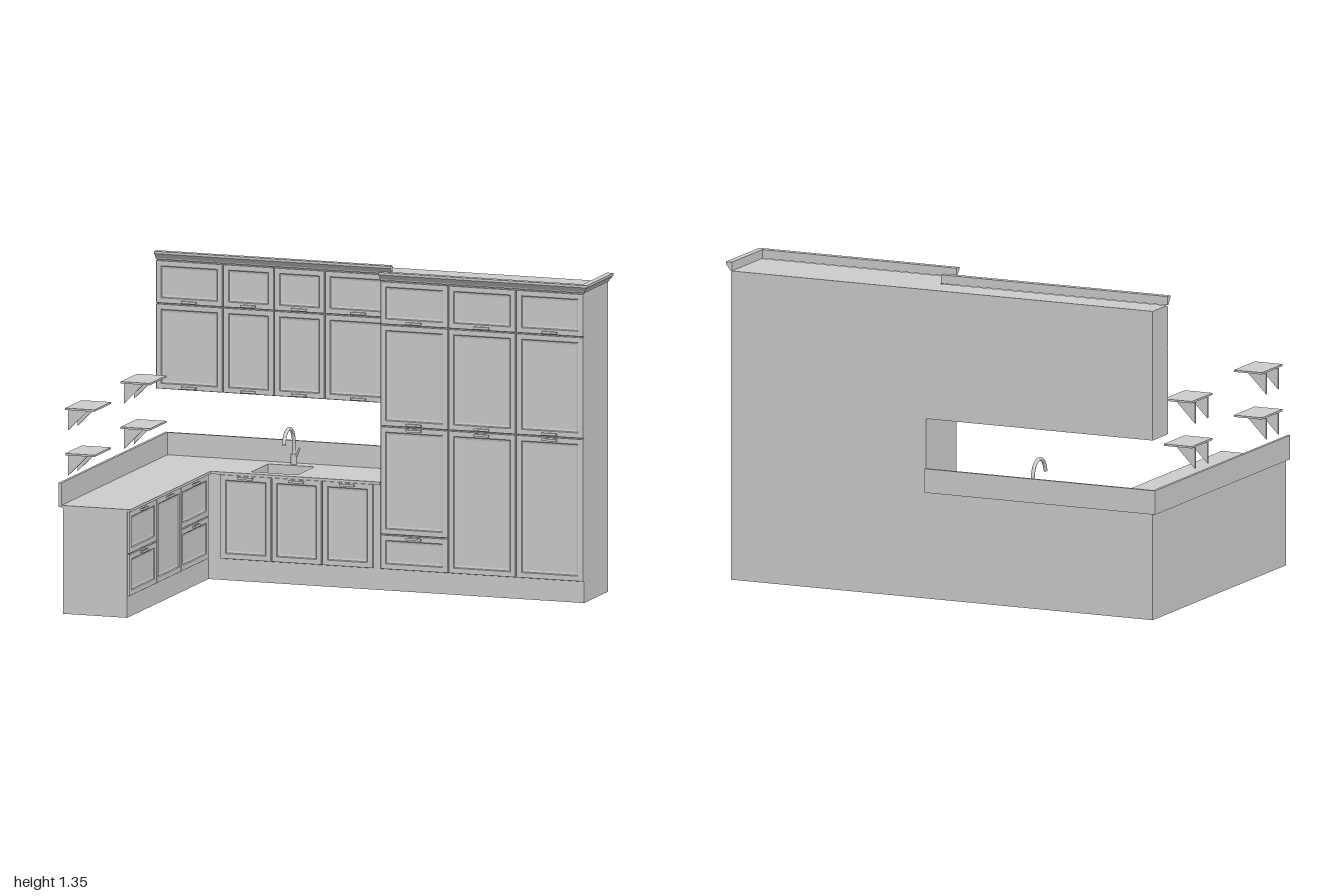
import * as THREE from 'three';

const mat = new THREE.MeshStandardMaterial({ color: 0xcccccc, side: THREE.DoubleSide });

function add(parent, name, geo) {
  const m = new THREE.Mesh(geo, mat);
  m.name = name;
  parent.add(m);
  return m;
}

// Box given by its extents
function box(parent, name, x0, x1, y0, y1, z0, z1) {
  const g = new THREE.BoxGeometry(x1 - x0, y1 - y0, z1 - z0);
  g.translate((x0 + x1) / 2, (y0 + y1) / 2, (z0 + z1) / 2);
  return add(parent, name, g);
}

// Framed front: rectangular rings [inset, depth] stepping in to a recessed panel
function frontGeometry(w, h) {
  const rings = [[0, 0], [0, 0.009], [0.001, 0.01], [0.022, 0.01], [0.025, 0.006], [0.034, 0.004]];
  const pos = [];
  const corners = ([i, d]) => [
    [i, i, d], [w - i, i, d], [w - i, h - i, d], [i, h - i, d],
  ];
  const quad = (a, b, c, d) => pos.push(...a, ...b, ...c, ...a, ...c, ...d);
  for (let r = 0; r < rings.length - 1; r++) {
    const A = corners(rings[r]), B = corners(rings[r + 1]);
    for (let k = 0; k < 4; k++) quad(A[k], A[(k + 1) % 4], B[(k + 1) % 4], B[k]);
  }
  quad(...corners(rings[rings.length - 1]));
  const g = new THREE.BufferGeometry();
  g.setAttribute('position', new THREE.Float32BufferAttribute(pos, 3));
  g.computeVertexNormals();
  return g;
}

// Door or drawer front with a bar handle near its top or bottom edge
function front(parent, name, x0, x1, y0, y1, z, handle) {
  const gap = 0.002;
  const g = frontGeometry(x1 - x0 - 2 * gap, y1 - y0 - 2 * gap);
  g.translate(x0 + gap, y0 + gap, z);
  add(parent, name, g);
  const cx = (x0 + x1) / 2;
  const hy = handle === 'top' ? y1 - 0.012 : y0 + 0.012;
  box(parent, 'handle', cx - 0.033, cx + 0.033, hy - 0.005, hy + 0.005, z + 0.016, z + 0.022);
  for (const s of [-1, 1]) {
    const px = cx + s * 0.028;
    box(parent, 'handlePost', px - 0.004, px + 0.004, hy - 0.004, hy + 0.004, z + 0.009, z + 0.017);
  }
}

// L-shaped floor plan extruded upward, optionally with the sink cut-out
const SINK = { x0: -0.515, x1: -0.31, z0: -0.58, z1: -0.38 };
function lSlab(parent, name, y0, y1, left, back, armX, runZ, endZ, cut) {
  const s = new THREE.Shape([
    [left, back], [0.07, back], [0.07, runZ], [armX, runZ], [armX, endZ], [left, endZ],
  ].map(([x, z]) => new THREE.Vector2(x, -z)));
  if (cut) {
    s.holes.push(new THREE.Path([
      [SINK.x0, SINK.z0], [SINK.x0, SINK.z1], [SINK.x1, SINK.z1], [SINK.x1, SINK.z0],
    ].map(([x, z]) => new THREE.Vector2(x, -z))));
  }
  const g = new THREE.ExtrudeGeometry(s, { depth: y1 - y0, bevelEnabled: false });
  g.rotateX(-Math.PI / 2);
  g.translate(0, y0, 0);
  return add(parent, name, g);
}

// Flared moulding: profile [outward, y] swept along a floor path with outward offsets
function cornice(parent, path) {
  const profile = [[-0.004, 1.315], [0.003, 1.315], [0.006, 1.322], [0.024, 1.342], [0.024, 1.352], [-0.004, 1.352]];
  const pos = [], n = profile.length;
  const pt = ([x, z, ox, oz], [o, y]) => [x + ox * o, y, z + oz * o];
  const tri = (a, b, c) => pos.push(...a, ...b, ...c);
  for (let i = 0; i < path.length - 1; i++) {
    for (let k = 0; k < n; k++) {
      const a = pt(path[i], profile[k]), b = pt(path[i + 1], profile[k]);
      const c = pt(path[i + 1], profile[(k + 1) % n]), d = pt(path[i], profile[(k + 1) % n]);
      tri(a, b, c);
      tri(a, c, d);
    }
  }
  for (const p of [path[0], path[path.length - 1]]) {
    for (let k = 1; k < n - 1; k++) tri(pt(p, profile[0]), pt(p, profile[k]), pt(p, profile[k + 1]));
  }
  const g = new THREE.BufferGeometry();
  g.setAttribute('position', new THREE.Float32BufferAttribute(pos, 3));
  g.computeVertexNormals();
  add(parent, 'cornice', g);
}

function group(parent, name) {
  const g = new THREE.Group();
  g.name = name;
  parent.add(g);
  return g;
}

export function createModel() {
  const root = new THREE.Group();
  root.name = 'cornerKitchen';

  // Base cabinets and worktop, hollow where the sink sits
  const base = group(root, 'baseCabinets');
  lSlab(base, 'baseBody', 0, 0.385, -0.98, -0.637, -0.695, -0.347, 0.64, false);
  lSlab(base, 'baseBodyTop', 0.385, 0.449, -0.98, -0.637, -0.695, -0.347, 0.64, true);
  lSlab(base, 'worktop', 0.449, 0.46, -0.985, -0.64, -0.68, -0.333, 0.645, true);
  box(base, 'sideSplashback', -0.998, -0.985, 0.453, 0.555, -0.652, 0.645);
  box(base, 'backSplashback', -0.985, 0.07, 0.453, 0.555, -0.652, -0.64);

  // Doors under the sink run
  const runX = [-0.64, -0.412, -0.187, 0.04];
  for (let i = 0; i < 3; i++) front(base, 'baseDoor', runX[i], runX[i + 1], 0.09, 0.45, -0.347, 'top');

  // Side arm: drawers, door, drawers (built facing front, turned to face +x)
  const arm = group(base, 'sideArmFronts');
  arm.rotation.y = Math.PI / 2;
  for (const [a, b] of [[-0.64, -0.308], [-0.01, 0.322]]) {
    front(arm, 'drawer', a, b, 0.09, 0.27, -0.695, 'top');
    front(arm, 'drawer', a, b, 0.27, 0.45, -0.695, 'top');
  }
  front(arm, 'baseDoor', -0.308, -0.01, 0.09, 0.45, -0.695, 'top');

  // Tap with curved spout
  const tap = group(root, 'tap');
  tap.position.set(-0.412, 0.46, -0.61);
  const spout = new THREE.CatmullRomCurve3([
    [0, 0, 0], [0, 0.1, 0], [0, 0.142, 0.018], [0, 0.16, 0.06], [0, 0.142, 0.102], [0, 0.1, 0.122],
  ].map((p) => new THREE.Vector3(...p)));
  add(tap, 'spout', new THREE.TubeGeometry(spout, 32, 0.008, 12));
  add(tap, 'tapBase', new THREE.CylinderGeometry(0.013, 0.013, 0.045, 16)).position.y = 0.0225;
  const lever = add(tap, 'tapLever', new THREE.CylinderGeometry(0.004, 0.005, 0.045, 10));
  lever.position.set(0.018, 0.05, 0);
  lever.rotation.z = -0.4;

  // Wall cabinets
  const wall = group(root, 'wallCabinets');
  box(wall, 'wallBody', -0.98, 0.07, 0.765, 1.315, -0.637, -0.5);
  const wallX = [-0.982, -0.683, -0.456, -0.23, 0.07];
  for (let i = 0; i < 4; i++) {
    front(wall, 'wallDoor', wallX[i], wallX[i + 1], 0.765, 1.128, -0.5, 'bottom');
    front(wall, 'topDoor', wallX[i], wallX[i + 1], 1.128, 1.312, -0.5, 'bottom');
  }
  cornice(wall, [[-0.98, -0.49, 0, 1], [0.07, -0.49, 0, 1]]);

  // Tall cabinets
  const tall = group(root, 'tallCabinets');
  box(tall, 'tallBody', 0.07, 0.975, 0, 1.315, -0.637, -0.347);
  const tallX = [0.072, 0.374, 0.675, 0.976];
  for (let i = 0; i < 3; i++) {
    const a = tallX[i], b = tallX[i + 1];
    front(tall, 'topDoor', a, b, 1.128, 1.312, -0.347, 'bottom');
    front(tall, 'upperDoor', a, b, 0.697, 1.128, -0.347, 'bottom');
    front(tall, 'lowerDoor', a, b, i ? 0.09 : 0.238, 0.697, -0.347, 'top');
  }
  front(tall, 'drawer', tallX[0], tallX[1], 0.09, 0.238, -0.347, 'top');
  cornice(tall, [[0.072, -0.338, 0, 1], [0.975, -0.338, 1, 1], [0.975, -0.637, 1, 0]]);

  // Open shelves on triangular brackets
  const bracket = new THREE.ExtrudeGeometry(
    new THREE.Shape([[-0.985, 0], [-0.985, -0.092], [-0.893, 0]].map((p) => new THREE.Vector2(...p))),
    { depth: 0.008, bevelEnabled: false });
  for (const y of [0.665, 0.857]) {
    for (const [z, offsets] of [[0.5, [-0.055, 0.06]], [-0.172, [-0.065, 0.055]]]) {
      const shelf = group(root, 'wallShelf');
      box(shelf, 'shelfBoard', -0.985, -0.855, y, y + 0.008, z - 0.1, z + 0.1);
      for (const o of offsets) add(shelf, 'shelfBracket', bracket).position.set(0, y, z + o - 0.004);
    }
  }
  return root;
}
